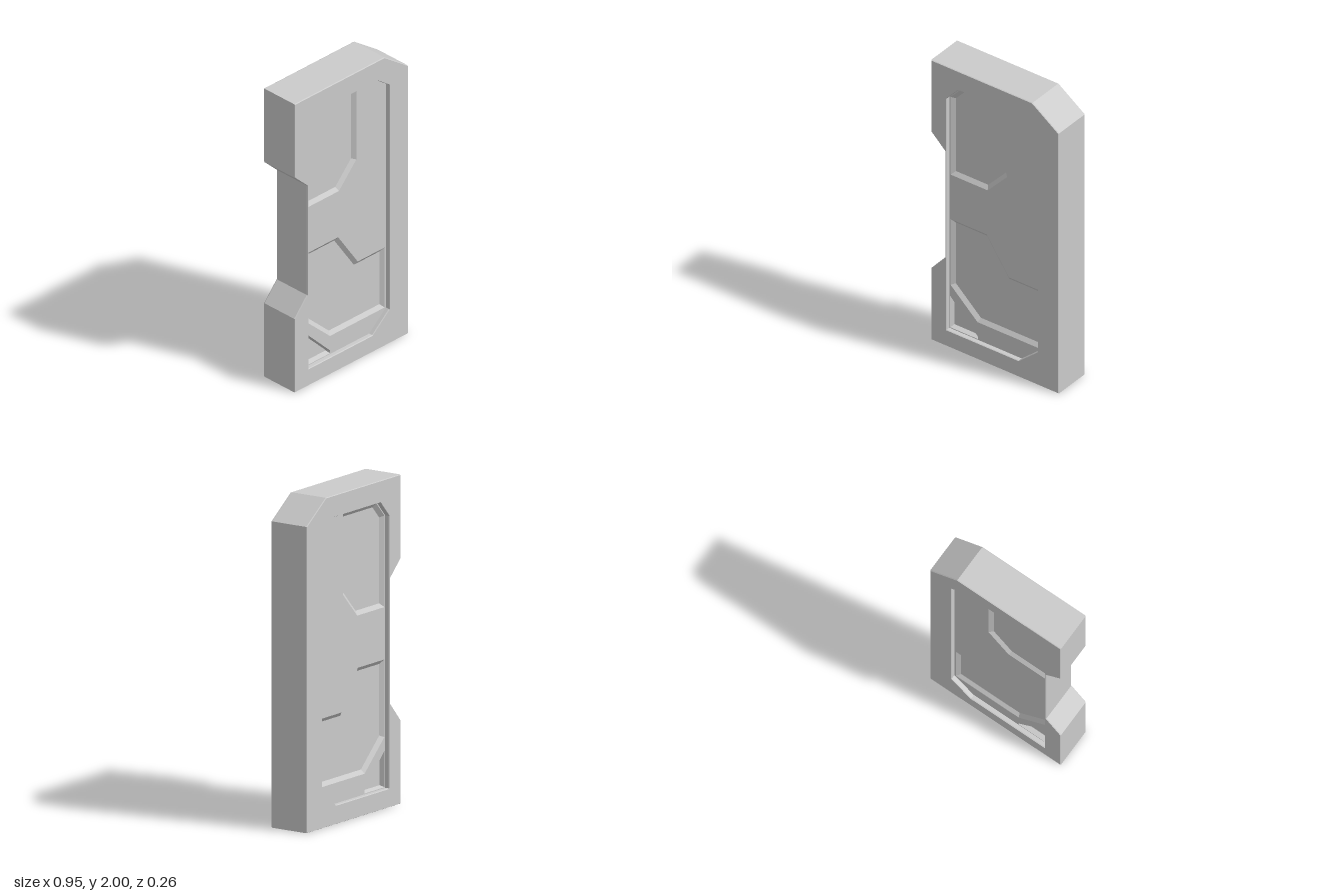
import * as THREE from 'three';

const FRONT = 0.13;   // half thickness of the frame
const PANEL = 0.1;    // half thickness of the inset panel

const grey = new THREE.MeshStandardMaterial({ color: 0xcccccc, flatShading: true });

// All outlines run counter-clockwise in x, y.
const outline = [
  [-0.473, 0], [0.473, 0], [0.473, 1.86], [0.277, 2], [-0.473, 2],
  [-0.473, 1.49], [-0.368, 1.39], [-0.368, 0.63], [-0.473, 0.51],
];
const opening = [
  [-0.358, 0.115], [0.177, 0.115], [0.317, 0.235], [0.317, 1.793],
  [0.215, 1.867], [-0.27, 1.867], [-0.358, 1.77],
];
const pockets = [
  { name: 'upperPocket', depth: 0.02, slope: 0.025, points: [
    [-0.35, 1.214], [-0.075, 1.214], [0.07, 1.37], [0.07, 1.86], [-0.267, 1.86], [-0.35, 1.77]] },
  { name: 'lowerPocket', depth: 0.02, slope: 0.025, points: [
    [-0.35, 0.425], [-0.15, 0.24], [0.307, 0.24], [0.307, 0.656], [0.082, 0.656],
    [-0.082, 0.896], [-0.35, 0.896]] },
  { name: 'cornerPocket', depth: 0.03, slope: 0.01, points: [
    [-0.353, 0.12], [-0.148, 0.12], [-0.148, 0.138], [-0.353, 0.345]] },
];

const toVectors = (pts) => pts.map(([x, y]) => new THREE.Vector2(x, y));

// Moves every edge of a counter-clockwise polygon inward by d.
function inset(pts, d) {
  return pts.map((p, i) => {
    const a = p.clone().sub(pts.at(i - 1)).normalize();
    const b = pts[(i + 1) % pts.length].clone().sub(p).normalize();
    const n1 = new THREE.Vector2(-a.y, a.x);
    const n2 = new THREE.Vector2(-b.y, b.x);
    const k = d / (1 + n1.dot(n2));
    return p.clone().add(n1.add(n2).multiplyScalar(k));
  });
}

// Non-indexed geometry from triangles; side -1 mirrors it to the back.
function facet(triangles, side) {
  const pos = [];
  for (const [a, b, c] of triangles) {
    for (const v of side > 0 ? [a, b, c] : [a, c, b]) pos.push(v.x, v.y, v.z * side);
  }
  const geometry = new THREE.BufferGeometry();
  geometry.setAttribute('position', new THREE.Float32BufferAttribute(pos, 3));
  geometry.computeVertexNormals();
  return geometry;
}

// Flat polygon, optionally with holes, as triangles at height z.
function fill(pts, holes, z) {
  const all = [pts, ...holes].flat().map((p) => new THREE.Vector3(p.x, p.y, z));
  return THREE.ShapeUtils.triangulateShape(pts, holes).map((t) => t.map((i) => all[i]));
}

// Sloped walls and a flat floor.
function pocketTriangles({ points, depth, slope }) {
  const rim = toVectors(points);
  const base = inset(rim, slope);
  const floorZ = PANEL - depth;
  const tris = fill(base, [], floorZ);
  rim.forEach((p, i) => {
    const j = (i + 1) % rim.length;
    const a = new THREE.Vector3(p.x, p.y, PANEL);
    const b = new THREE.Vector3(rim[j].x, rim[j].y, PANEL);
    const c = new THREE.Vector3(base[j].x, base[j].y, floorZ);
    const d = new THREE.Vector3(base[i].x, base[i].y, floorZ);
    tris.push([a, b, c], [a, c, d]);
  });
  return tris;
}

function addMesh(parent, name, geometry) {
  const mesh = new THREE.Mesh(geometry, grey);
  mesh.name = name;
  parent.add(mesh);
}

export function createModel() {
  const model = new THREE.Group();
  model.name = 'door';

  // Outer frame with a hair-fine bevel
  const shape = new THREE.Shape(toVectors(outline));
  shape.holes.push(new THREE.Path(toVectors(opening)));
  const frame = new THREE.ExtrudeGeometry(shape, {
    depth: 2 * FRONT - 0.012, bevelEnabled: true, bevelSegments: 1,
    bevelThickness: 0.006, bevelSize: 0.003, bevelOffset: -0.003,
  });
  frame.translate(0, 0, -FRONT + 0.006);
  addMesh(model, 'frame', frame);

  // Inset panel with its pockets, the same on both faces
  for (const side of [1, -1]) {
    const panel = new THREE.Group();
    panel.name = side > 0 ? 'frontPanel' : 'backPanel';
    const holes = pockets.map((p) => toVectors(p.points).reverse());
    addMesh(panel, 'panelFace', facet(fill(toVectors(opening), holes, PANEL), side));
    for (const p of pockets) addMesh(panel, p.name, facet(pocketTriangles(p), side));
    model.add(panel);
  }
  return model;
}
